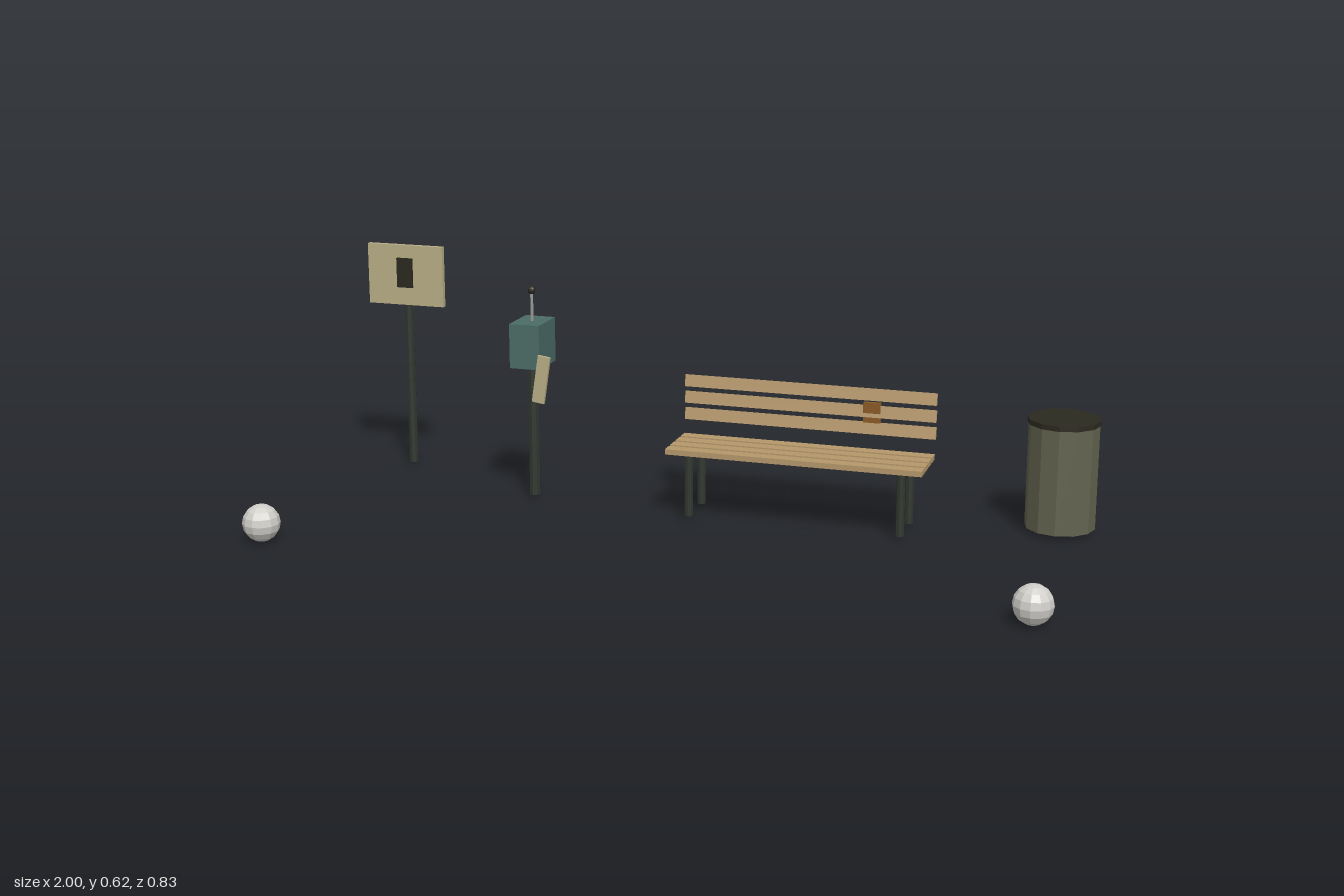
import * as THREE from 'three';

const material = (name, color) => {
  const m = new THREE.MeshStandardMaterial({ color, flatShading: true });
  m.name = name;
  return m;
};

export function createModel() {
  const darkMetal = material('dark metal', 0x32372f);
  const black = material('near black', 0x2b291f);
  const wood = material('bench wood', 0xb4976a);
  const beige = material('beige panel', 0xb9ad87);
  const teal = material('teal paint', 0x4c6c65);
  const olive = material('olive bin', 0x62634f);
  const brown = material('brown patch', 0x8a5a26);
  const stone = material('pale stone', 0xd0cec9);
  const steel = material('steel', 0x9a9a98);

  const model = new THREE.Group();
  const group = (name, x, z) => {
    const g = new THREE.Group();
    g.name = name;
    g.position.set(x, 0, z);
    model.add(g);
    return g;
  };
  const add = (parent, name, geometry, mat, x, y, z) => {
    const m = new THREE.Mesh(geometry, mat);
    m.name = name;
    m.position.set(x, y, z);
    parent.add(m);
    return m;
  };
  const box = (w, h, d) => new THREE.BoxGeometry(w, h, d);
  // Upright cylinder spanning two heights
  const column = (parent, name, mat, r, y0, y1, x = 0, z = 0, sides = 8) =>
    add(parent, name, new THREE.CylinderGeometry(r, r, y1 - y0, sides), mat, x, (y0 + y1) / 2, z);

  // Sign on a post
  const sign = group('sign', -0.88, -0.359);
  column(sign, 'signPost', darkMetal, 0.012, 0.01, 0.59);
  add(sign, 'signBoard', box(0.218, 0.164, 0.014), beige, 0, 0.538, 0.01);
  add(sign, 'signPlate', box(0.044, 0.08, 0.008), black, 0, 0.545, 0.021);

  // Box on a post, with an aerial and a hanging tag
  const station = group('postBox', -0.447, -0.176);
  column(station, 'boxPost', darkMetal, 0.0145, 0.01, 0.365);
  add(station, 'boxBody', box(0.081, 0.116, 0.116), teal, 0, 0.418, 0);
  column(station, 'aerial', steel, 0.004, 0.475, 0.55);
  add(station, 'aerialTip', new THREE.SphereGeometry(0.0105, 10, 8), black, 0, 0.556, 0);
  const tag = add(station, 'hangingTag', box(0.033, 0.124, 0.009), beige, 0.047, 0.337, 0.061);
  tag.rotation.z = -0.15;

  // Bench: four seat slats, three leaning back slats, four legs
  const bench = group('bench', 0.268, 0);
  for (let i = 0; i < 4; i++) {
    add(bench, 'seatSlat', box(0.657, 0.014, 0.033), wood, 0, 0.18, -0.111 - i * 0.0437);
  }
  for (let i = 0; i < 3; i++) {
    const slat = add(bench, 'backSlat', box(0.657, 0.031, 0.009), wood, 0, 0.238 + i * 0.0437, -0.268);
    slat.rotation.x = -0.21;
  }
  for (const x of [-0.273, 0.273]) {
    for (const z of [-0.121, -0.231]) column(bench, 'benchLeg', darkMetal, 0.011, 0.01, 0.174, x, z);
  }
  add(bench, 'backPatch', box(0.044, 0.052, 0.011), brown, 0.164, 0.279, -0.268);

  // Litter bin
  const bin = group('bin', 0.906, -0.321);
  column(bin, 'binBody', olive, 0.088, 0.01, 0.28, 0, 0, 12);
  column(bin, 'binLid', black, 0.091, 0.278, 0.291, 0, 0, 12);

  // Stone balls at the front corners
  for (const x of [-0.953, 0.942]) {
    add(model, 'stoneBall', new THREE.SphereGeometry(0.047, 12, 8), stone, x, 0.047, 0.371);
  }
  return model;
}
